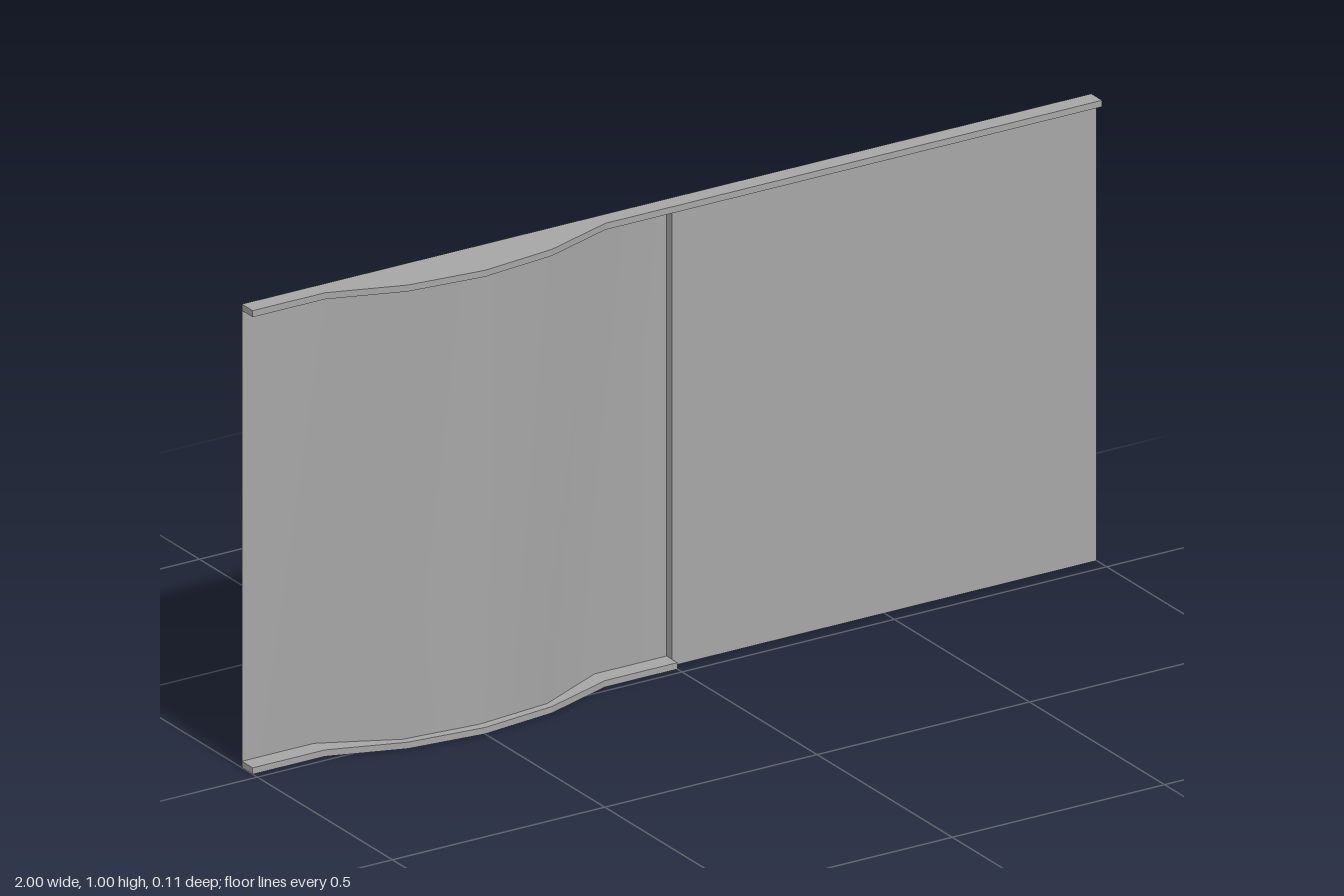
import * as THREE from 'three';

const BACK = -0.057, FACE = -0.037, LIP = -0.017, RAIL = 0.014;

// Bulge outline: [x, rail front z, sheet z]
const PROFILE = [
  [-1, LIP, BACK], [-0.83, LIP, BACK], [-0.67, 0.038, 0.02], [-0.5, 0.057, 0.037],
  [-0.33, 0.038, 0.02], [-0.17, LIP, BACK], [0, LIP, BACK],
];

export function createModel() {
  const group = new THREE.Group();
  const grey = new THREE.MeshStandardMaterial({ color: 0xa6a6a6, side: THREE.DoubleSide });
  grey.name = 'grey';

  const add = (name, geometry) => {
    const mesh = new THREE.Mesh(geometry, grey);
    mesh.name = name;
    group.add(mesh);
    return mesh;
  };

  // Horizontal rail following the bulge; the upper one runs on over the flat panel
  const rail = (name, y, long) => {
    const pts = PROFILE.map(([x, z]) => new THREE.Vector2(x, z));
    if (long) pts.push(new THREE.Vector2(1, LIP), new THREE.Vector2(1, FACE), new THREE.Vector2(0, FACE));
    pts.push(new THREE.Vector2(0, BACK), new THREE.Vector2(-1, BACK));
    const geo = new THREE.ExtrudeGeometry(new THREE.Shape(pts), { depth: RAIL, bevelEnabled: false });
    geo.rotateX(Math.PI / 2); // shape y becomes z, depth runs down
    geo.translate(0, y + RAIL, 0);
    add(name, geo);
  };
  rail('topRail', 1 - RAIL, true);
  rail('bottomRail', 0, false);

  // Curved sheet between the rails, smooth shaded
  const sheet = new THREE.PlaneGeometry(1, 1 - 2 * RAIL, PROFILE.length - 1, 1);
  const pos = sheet.attributes.position;
  for (let i = 0; i < pos.count; i++) {
    const [x, , z] = PROFILE[i % PROFILE.length];
    pos.setXYZ(i, x, pos.getY(i) + 0.5, z);
  }
  sheet.computeVertexNormals();
  add('curvedSheet', sheet);

  // Flat panel: a shallow tray with thin walls, open at the back
  const depth = FACE - BACK, mid = (FACE + BACK) / 2;
  add('flatPanel', new THREE.PlaneGeometry(1, 1)).position.set(0.5, 0.5, FACE);
  for (const side of [-1, 1]) {
    const upright = add('panelSideWall', new THREE.PlaneGeometry(depth, 1));
    upright.rotation.y = side * Math.PI / 2;
    upright.position.set(0.5 + side * 0.5, 0.5, mid);
    const level = add('panelEdgeWall', new THREE.PlaneGeometry(1, depth));
    level.rotation.x = -side * Math.PI / 2;
    level.position.set(0.5, 0.5 + side * 0.5, mid);
  }
  return group;
}
